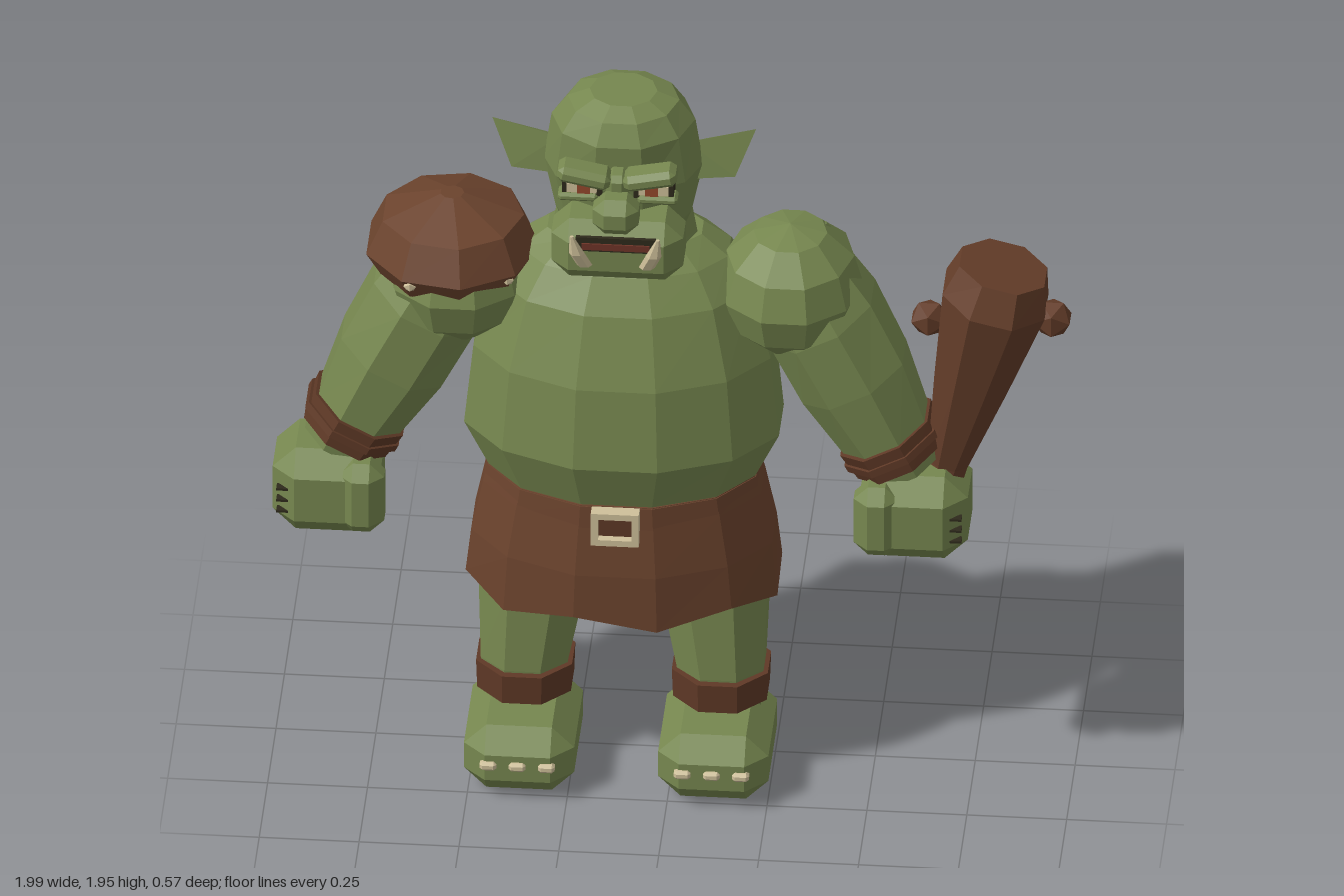
import * as THREE from 'three';
import { ConvexGeometry } from 'three/addons/geometries/ConvexGeometry.js';

const mat = (name, color, side = THREE.FrontSide) => {
  const m = new THREE.MeshStandardMaterial({ color, side });
  m.name = name;
  return m;
};

// Faceted mesh with a name and place
function part(parent, name, geo, material, pos = [0, 0, 0], rot = [0, 0, 0]) {
  const g = geo.index ? geo.toNonIndexed() : geo;
  g.computeVertexNormals();
  const m = new THREE.Mesh(g, material);
  m.name = name;
  m.position.set(...pos);
  m.rotation.set(...rot);
  parent.add(m);
  return m;
}

// Stack of elliptical rings [y, rx, rz, cz, cx], optionally capped, with an optional ragged lower edge
function loft(rings, n, { caps = true, offset = 0.5, ragged = 0 } = {}) {
  const pos = [], idx = [];
  rings.forEach(([y, rx, rz, cz = 0, cx = 0], i) => {
    for (let j = 0; j < n; j++) {
      const a = ((j + offset) / n) * Math.PI * 2;
      const dy = i === 0 && j % 2 ? ragged : 0;
      pos.push(cx + rx * Math.sin(a), y + dy, cz + rz * Math.cos(a));
    }
  });
  for (let i = 0; i < rings.length - 1; i++) {
    for (let j = 0; j < n; j++) {
      const k = (j + 1) % n, a = i * n + j, b = i * n + k;
      idx.push(a, b, b + n, a, b + n, a + n);
    }
  }
  if (caps) {
    const last = (rings.length - 1) * n, c = rings.length * n;
    for (const [y, , , cz = 0, cx = 0] of [rings[0], rings[rings.length - 1]]) pos.push(cx, y, cz);
    for (let j = 0; j < n; j++) {
      const k = (j + 1) % n;
      idx.push(c, k, j, c + 1, last + j, last + k);
    }
  }
  const g = new THREE.BufferGeometry();
  g.setAttribute('position', new THREE.Float32BufferAttribute(pos, 3));
  g.setIndex(idx);
  return g;
}

const hull = (points) => new ConvexGeometry(points.map((p) => new THREE.Vector3(...p)));

// Box with cut edges and corners
function chamferBox(w, h, d, c) {
  const pts = [], x = w / 2, y = h / 2, z = d / 2;
  for (const i of [-1, 1]) for (const j of [-1, 1]) for (const k of [-1, 1]) {
    pts.push([i * x, j * (y - c), k * (z - c)], [i * (x - c), j * y, k * (z - c)], [i * (x - c), j * (y - c), k * z]);
  }
  return hull(pts);
}

const box = (w, h, d) => new THREE.BoxGeometry(w, h, d);

export function createModel() {
  const skin = mat('skin green', 0x76874f);
  const leather = mat('leather brown', 0x6b432d);
  const cloth = mat('skirt brown', 0x6b432d, THREE.DoubleSide);
  const strap = mat('strap brown', 0x5f3926);
  const wood = mat('wood brown', 0x643d29);
  const bone = mat('bone', 0xcfc09a);
  const dark = mat('dark crease', 0x2e2a1c);
  const iris = mat('iris rust', 0x94482c);
  const lip = mat('mouth red', 0x6e3427);

  const model = new THREE.Group();
  model.name = 'clubBrute';
  const body = new THREE.Group();
  body.name = 'body';
  body.position.x = -0.13;
  model.add(body);

  // Torso and neck
  part(body, 'torso', loft([
    [0.80, 0.33, 0.22, -0.01], [0.85, 0.345, 0.235, -0.01], [0.98, 0.408, 0.28, -0.01],
    [1.2, 0.385, 0.265, -0.02], [1.38, 0.33, 0.22, -0.04], [1.46, 0.27, 0.175, -0.055], [1.51, 0.2, 0.12, -0.06],
  ], 12), skin);
  part(body, 'neck', loft([[1.42, 0.2, 0.15, -0.045], [1.52, 0.18, 0.125, -0.04], [1.61, 0.165, 0.12, -0.04]], 10), skin);

  // Head
  const head = new THREE.Group();
  head.name = 'head';
  body.add(head);
  part(head, 'skull', loft([
    [1.52, 0.14, 0.1, 0], [1.6, 0.17, 0.12, 0.005], [1.74, 0.2, 0.155, 0],
    [1.87, 0.18, 0.16, 0], [1.925, 0.14, 0.13, 0], [1.948, 0.085, 0.08, 0],
  ], 10), skin);
  part(head, 'jaw', chamferBox(0.33, 0.17, 0.17, 0.045), skin, [0, 1.597, 0.15]);
  part(head, 'nose', chamferBox(0.115, 0.1, 0.1, 0.03), skin, [0, 1.725, 0.222]);
  part(head, 'noseBridge', chamferBox(0.055, 0.09, 0.07, 0.015), skin, [0, 1.77, 0.17]);
  part(head, 'mouthGap', box(0.2, 0.04, 0.01), dark, [0, 1.637, 0.233]);
  part(head, 'lowerLip', box(0.17, 0.018, 0.012), lip, [0, 1.632, 0.236]);
  for (const s of [-1, 1]) {
    part(head, 'brow', chamferBox(0.135, 0.045, 0.075, 0.014), skin, [s * 0.083, 1.812, 0.183], [0, 0, s * 0.2]);
    part(head, 'eyeSocket', box(0.1, 0.05, 0.05), dark, [s * 0.09, 1.766, 0.15]);
    part(head, 'eye', box(0.075, 0.026, 0.008), bone, [s * 0.09, 1.766, 0.177]);
    part(head, 'iris', box(0.032, 0.026, 0.006), iris, [s * 0.085, 1.766, 0.182]);
    part(head, 'lowerLid', chamferBox(0.1, 0.022, 0.05, 0.007), skin, [s * 0.1, 1.738, 0.16]);
    // Tusk curving up and out of the jaw
    part(head, 'tusk', loft([
      [1.575, 0.02, 0.016, 0.235, s * 0.078], [1.62, 0.02, 0.016, 0.253, s * 0.096], [1.675, 0.005, 0.005, 0.263, s * 0.108],
    ], 6), bone);
    part(head, 'ear', hull([
      [s * 0.33, 1.835, -0.02], [s * 0.28, 1.71, 0.01], [s * 0.16, 1.8, 0.0],
      [s * 0.16, 1.7, 0.015], [s * 0.2, 1.765, -0.075],
    ]), skin);
  }

  // Skirt, belt and buckle
  part(body, 'skirt', loft([
    [0.505, 0.404, 0.278, -0.01], [0.66, 0.39, 0.272, -0.01], [0.8, 0.36, 0.25, -0.01], [0.852, 0.345, 0.243, -0.01],
  ], 12, { caps: false, ragged: 0.035 }), cloth);
  part(body, 'belt', loft([[0.785, 0.36, 0.252, -0.01], [0.85, 0.348, 0.246, -0.01]], 12), leather);
  const frame = new THREE.Shape([[-0.06, -0.047], [0.06, -0.047], [0.06, 0.047], [-0.06, 0.047]].map((p) => new THREE.Vector2(...p)));
  frame.holes.push(new THREE.Path([[-0.042, -0.03], [-0.042, 0.03], [0.042, 0.03], [0.042, -0.03]].map((p) => new THREE.Vector2(...p))));
  part(body, 'buckle', new THREE.ExtrudeGeometry(frame, { depth: 0.035, bevelEnabled: false }), bone, [0, 0.808, 0.232]);
  part(body, 'buckleCentre', box(0.084, 0.06, 0.02), strap, [0, 0.808, 0.236]);

  for (const s of [-1, 1]) {
    const side = s > 0 ? 'left' : 'right';

    // Leg, ankle strap and foot
    const leg = new THREE.Group();
    leg.name = side + 'Leg';
    body.add(leg);
    part(leg, 'shin', loft([
      [0.1, 0.105, 0.1, 0, s * 0.245], [0.27, 0.118, 0.112, 0, s * 0.245],
      [0.5, 0.148, 0.145, -0.04, s * 0.225], [0.76, 0.155, 0.15, -0.04, s * 0.2],
    ], 8), skin);
    part(leg, 'ankleStrap', loft([[0.185, 0.127, 0.13, 0, s * 0.245], [0.265, 0.13, 0.133, 0, s * 0.245]], 8), strap);
    part(leg, 'foot', chamferBox(0.276, 0.185, 0.375, 0.056), skin, [s * 0.243, 0.0925, 0.09]);
    for (const t of [-1, 0, 1]) {
      part(leg, 'toenail', chamferBox(0.042, 0.024, 0.03, 0.007), bone, [s * 0.243 + t * 0.073, 0.1, 0.274]);
    }

    // Arm hanging outward from the shoulder
    const arm = new THREE.Group();
    arm.name = side + 'Arm';
    body.add(arm);
    const shoulder = new THREE.SphereGeometry(1, 10, 6);
    shoulder.scale(0.185, 0.175, 0.205);
    part(arm, 'shoulder', shoulder, skin, [s * 0.415, 1.378, -0.03]);
    const tilt = [0, 0, s * 0.48], top = [s * 0.43, 1.42, -0.02];
    part(arm, 'armLimb', loft([
      [-0.6, 0.105, 0.11, 0.03], [-0.5, 0.122, 0.125, 0.03], [-0.32, 0.152, 0.15, 0.015],
      [-0.14, 0.155, 0.165, -0.005], [0.06, 0.12, 0.13, -0.02],
    ], 8), skin, top, tilt);
    part(arm, 'wristStrap', loft([[-0.57, 0.124, 0.13, 0.03], [-0.49, 0.133, 0.138, 0.03]], 8), strap, top, tilt);
    part(arm, 'wristCord', loft([[-0.54, 0.137, 0.142, 0.03], [-0.52, 0.137, 0.142, 0.03]], 8), strap, top, tilt);

    // Fist with thumb and finger creases
    part(arm, 'fist', chamferBox(0.27, 0.24, 0.25, 0.058), skin, [s * 0.735, 0.785, 0.035]);
    part(arm, 'thumb', chamferBox(0.115, 0.2, 0.11, 0.036), skin, [s * 0.645, 0.79, 0.122]);
    for (const y of [0.74, 0.772, 0.805]) {
      part(arm, 'fingerCrease', box(0.055, 0.006, 0.025), dark, [s * 0.83, y, 0.132]);
    }
  }

  // Shoulder armour on the right side
  const armour = new THREE.Group();
  armour.name = 'shoulderArmour';
  armour.position.set(-0.562, 0, -0.035);
  model.add(armour);
  part(armour, 'shoulderPlate', loft([
    [1.385, 0.185, 0.185], [1.45, 0.222, 0.225], [1.54, 0.18, 0.18], [1.597, 0.03, 0.03],
  ], 9, { offset: 0.25 }), leather);
  for (const x of [-0.09, 0.15]) {
    part(armour, 'stud', new THREE.IcosahedronGeometry(0.018, 0), bone, [x, 1.435, x < 0 ? 0.185 : 0.135]);
  }

  // Club held in the left fist
  const club = new THREE.Group();
  club.name = 'club';
  club.position.set(0.625, 0.66, 0.015);
  club.rotation.z = -0.235;
  model.add(club);
  part(club, 'clubShaft', loft([
    [-0.01, 0.045, 0.045], [0.25, 0.055, 0.055], [0.5, 0.1, 0.105], [0.76, 0.142, 0.158], [0.845, 0.118, 0.12],
  ], 8), wood);
  part(model, 'clubKnot', new THREE.IcosahedronGeometry(0.053, 0), wood, [0.945, 1.34, 0.02]);
  part(model, 'clubKnot', new THREE.IcosahedronGeometry(0.05, 0), wood, [0.63, 1.275, -0.055]);

  return model;
}
